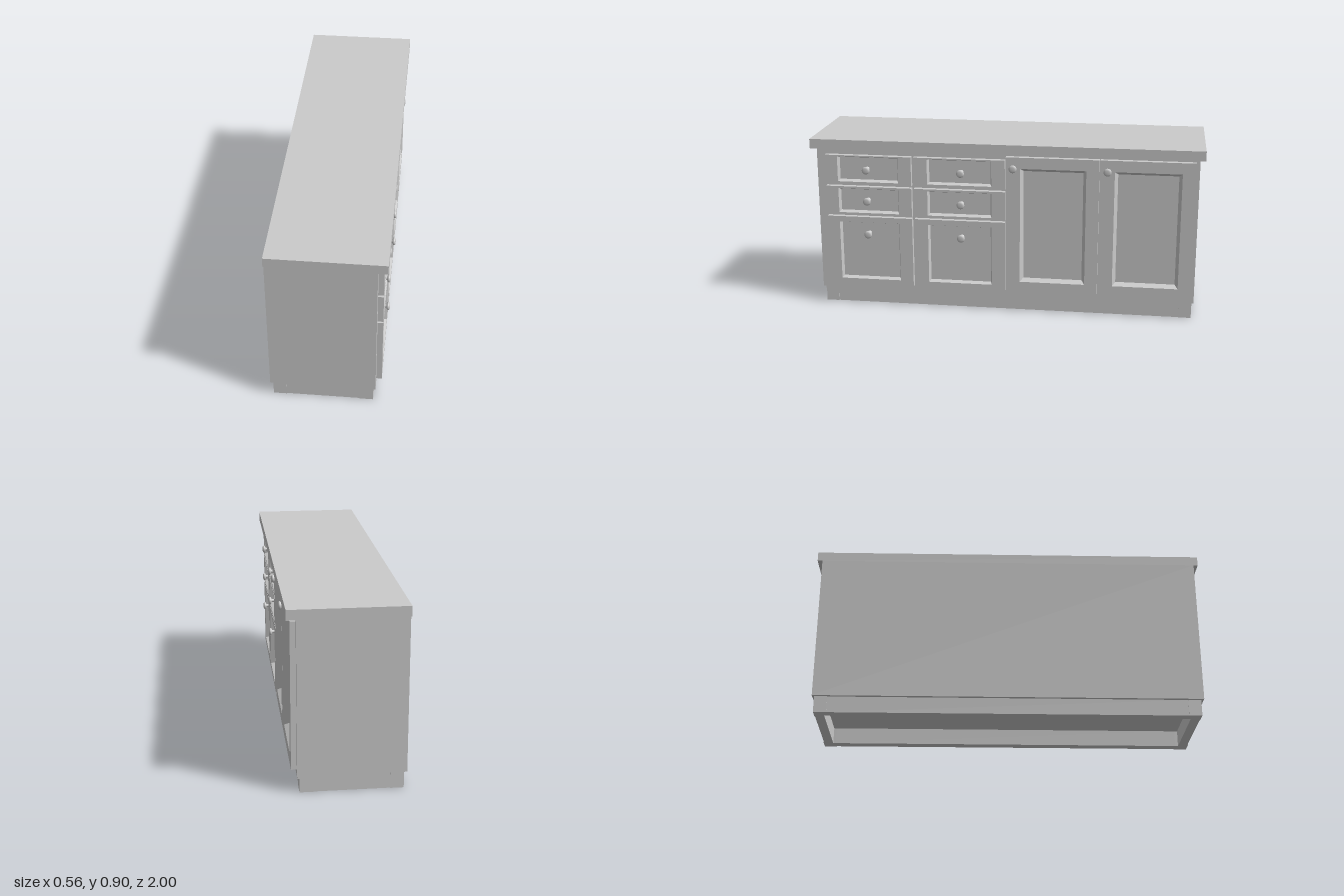
import * as THREE from 'three';

const material = new THREE.MeshStandardMaterial({ color: 0xcccccc });

// Box given by its minimum and maximum on each axis
function box(name, x0, x1, y0, y1, z0, z1) {
  const mesh = new THREE.Mesh(new THREE.BoxGeometry(x1 - x0, y1 - y0, z1 - z0), material);
  mesh.position.set((x0 + x1) / 2, (y0 + y1) / 2, (z0 + z1) / 2);
  mesh.name = name;
  return mesh;
}

const BACK = 0.233, FACE = 0.26, PANEL = 0.236;

// Front panel: nested rectangles from the back edge to the sunken centre
function sunkenFront(name, [y0, y1, z0, z1], [v0, v1, w0, w1], bevel) {
  const loop = (x, a, b, c, d) => [[x, a, c], [x, b, c], [x, b, d], [x, a, d]];
  const loops = [
    loop(BACK, y0, y1, z0, z1),
    loop(FACE, y0, y1, z0, z1),
    loop(FACE, v0, v1, w0, w1),
    loop(PANEL, v0 + bevel, v1 - bevel, w0 + bevel, w1 - bevel),
  ];
  const points = [];
  const quad = (a, b, c, d) => points.push(...a, ...b, ...c, ...a, ...c, ...d);
  for (let k = 0; k < loops.length - 1; k++) {
    for (let i = 0; i < 4; i++) {
      const j = (i + 1) % 4;
      quad(loops[k][i], loops[k][j], loops[k + 1][j], loops[k + 1][i]);
    }
  }
  quad(...loops[3]);
  const geometry = new THREE.BufferGeometry();
  geometry.setAttribute('position', new THREE.Float32BufferAttribute(points, 3));
  geometry.computeVertexNormals();
  const mesh = new THREE.Mesh(geometry, material);
  mesh.name = name;
  return mesh;
}

// Turned knob: thin stem and a flattened round head
const knobGeometry = new THREE.LatheGeometry([
  [0.012, 0], [0.012, 0.003], [0.008, 0.006], [0.008, 0.026], [0.012, 0.028], [0.018, 0.03],
  [0.02, 0.034], [0.02, 0.038], [0.017, 0.042], [0.01, 0.044], [0, 0.044],
].map(([r, h]) => new THREE.Vector2(r, h)), 20);
knobGeometry.rotateZ(-Math.PI / 2);

function knob(name, y, z) {
  const mesh = new THREE.Mesh(knobGeometry, material);
  mesh.position.set(PANEL, y, z);
  mesh.name = name;
  return mesh;
}

export function createModel() {
  const group = new THREE.Group();
  group.name = 'sideboardCabinet';

  group.add(box('countertop', -0.28, 0.28, 0.848, 0.897, -1, 1));
  group.add(box('carcass', -0.28, BACK, 0.084, 0.848, -0.975, 0.978));
  group.add(box('bottomRail', 0.19, 0.23, 0.07, 0.084, -0.965, 0.965));

  // Open plinth: four slightly inset boards between corner posts
  const top = 0.084, t = 0.05;
  const px0 = -0.267, px1 = 0.222, pz = 0.965, inset = 0.003;
  group.add(box('plinthBack', px0 + inset, px0 + t, 0, top, -0.9, 0.9));
  group.add(box('plinthFront', px1 - t, px1 - inset, 0, top, -0.9, 0.9));
  for (const s of [-1, 1]) {
    const span = (a, b) => [Math.min(s * a, s * b), Math.max(s * a, s * b)];
    group.add(box('plinthEnd', -0.202, 0.156, 0, top, ...span(pz - t, pz - inset)));
    // L-shaped corner posts
    for (const [a, b, c, d] of [[px0, -0.202, px0, px0 + t], [0.156, px1, px1 - t, px1]]) {
      group.add(box('plinthCornerEnd', a, b, 0, top, ...span(pz - t, pz)));
      group.add(box('plinthCornerSide', c, d, 0, top, ...span(0.9, pz - t)));
    }
  }

  // Two columns of three drawers
  const columns = [
    { z: [0.48, 0.93], hole: [0.548, 0.865], knobZ: 0.713 },
    { z: [-0.004, 0.467], hole: [0.065, 0.397], knobZ: 0.223 },
  ];
  const rows = [
    { y: [0.658, 0.812], hole: [0.673, 0.806], knobY: 0.738 },
    { y: [0.493, 0.647], hole: [0.507, 0.636], knobY: 0.572 },
    { y: [0.113, 0.485], hole: [0.144, 0.456], knobY: 0.393 },
  ];
  for (const c of columns) {
    for (const r of rows) {
      group.add(sunkenFront('drawerFront', [...r.y, ...c.z], [...r.hole, ...c.hole], 0.008));
      group.add(knob('drawerKnob', r.knobY, c.knobZ));
    }
  }

  // Two tall doors
  for (const z of [-0.008, -0.484]) {
    group.add(sunkenFront('door', [0.113, 0.83, z - 0.472, z],
      [0.168, 0.772, z - 0.407, z - 0.073], 0.016));
    const doorKnob = knob('doorKnob', 0.772, z - 0.037);
    group.add(doorKnob);
  }
  return group;
}
